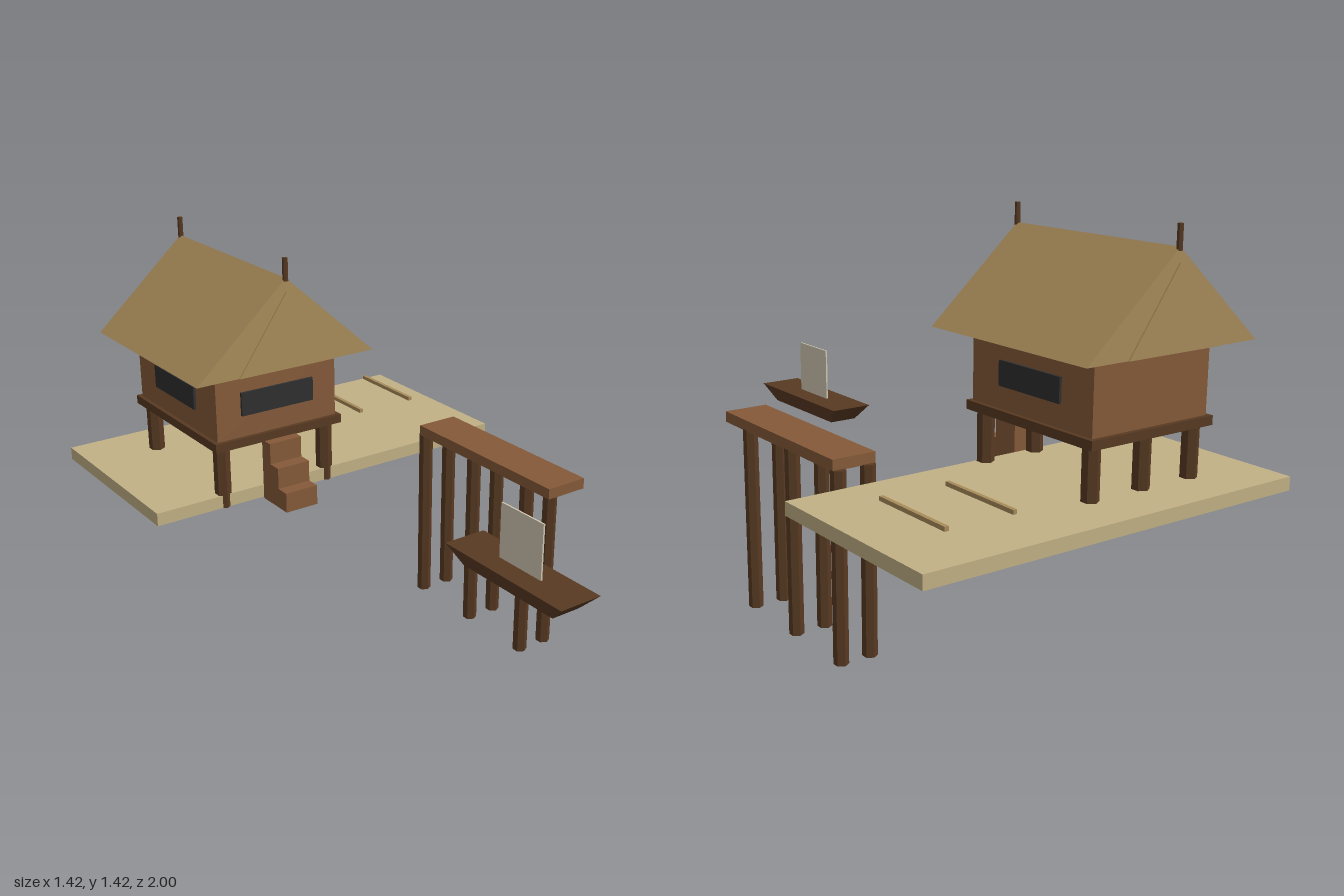
import * as THREE from 'three';

const paint = (name, color) => {
  const m = new THREE.MeshStandardMaterial({ color });
  m.name = name;
  return m;
};

export function createModel() {
  const model = new THREE.Group();
  model.name = 'stiltHouseScene';
  const sand = paint('sand', 0xc2b185);
  const thatch = paint('thatch', 0xa88b5a);
  const wood = paint('wood', 0x855a39);
  const darkWood = paint('darkWood', 0x583a22);
  const glass = paint('windowDark', 0x2f2f30);
  const cloth = paint('sailCloth', 0xd2c8b2);

  const add = (name, geometry, material) => {
    const mesh = new THREE.Mesh(geometry, material);
    mesh.name = name;
    model.add(mesh);
    return mesh;
  };
  // Box given by its lower and upper limits on each axis
  const box = (name, material, [x0, x1], [y0, y1], [z0, z1]) =>
    add(name, new THREE.BoxGeometry(x1 - x0, y1 - y0, z1 - z0), material)
      .position.set((x0 + x1) / 2, (y0 + y1) / 2, (z0 + z1) / 2);
  // Six-sided upright post
  const post = (name, x, z, r, y0, y1) => {
    const g = new THREE.CylinderGeometry(r, r, y1 - y0, 6).toNonIndexed();
    g.computeVertexNormals();
    add(name, g, darkWood).position.set(x, (y0 + y1) / 2, z);
  };
  // Triangular prism running along z
  const prism = (name, x, half, y0, y1, z0, z1) => {
    const s = new THREE.Shape();
    s.moveTo(x - half, y0);
    s.lineTo(x + half, y0);
    s.lineTo(x, y1);
    s.closePath();
    const g = new THREE.ExtrudeGeometry(s, { depth: z1 - z0, bevelEnabled: false });
    add(name, g, thatch).position.z = z0;
  };

  // Ground
  box('ground', sand, [-0.71, 0.71], [0.557, 0.603], [-1, -0.29]);

  // House on stilts
  const cx = -0.238;
  for (const x of [cx - 0.208, cx, cx + 0.208])
    for (const z of [-0.311, -0.815]) post('houseStilt', x, z, 0.029, 0.5565, 0.78);
  box('floor', darkWood, [-0.49, 0.014], [0.776, 0.807], [-0.863, -0.263]);
  box('walls', wood, [-0.475, -0.001], [0.807, 1.052], [-0.847, -0.278]);

  // Windows
  const sill = [0.884, 0.967];
  box('frontWindow', glass, [-0.381, -0.097], sill, [-0.278, -0.269]);
  box('leftWindow', glass, [-0.001, 0.008], sill, [-0.708, -0.42]);
  box('rightWindow', glass, [-0.484, -0.475], sill, [-0.708, -0.42]);

  // Roof with gable panels and ridge posts
  prism('roof', cx, 0.345, 1.048, 1.358, -0.932, -0.198);
  prism('frontGable', cx, 0.188, 1.048, 1.313, -0.199, -0.193);
  prism('backGable', cx, 0.188, 1.048, 1.313, -0.937, -0.931);
  for (const z of [-0.2, -0.928]) post('ridgePost', cx, z, 0.0095, 1.347, 1.425);

  // Steps up to the floor
  for (let i = 0; i < 3; i++)
    box('step', wood, [-0.302, -0.177], [0.557, 0.628 + i * 0.075],
      [i === 2 ? -0.28 : -0.18 - i * 0.05, -0.13 - i * 0.049]);

  // Pier
  box('pierDeck', wood, [0.361, 0.519], [0.65, 0.688], [-0.251, 0.46]);
  for (const x of [0.387, 0.497])
    for (const z of [0.323, 0.037, -0.247]) post('pierPost', x, z, 0.0255, 0, 0.652);

  // Drying poles
  for (const x of [0.313, 0.549])
    box('dryingPole', thatch, [x - 0.007, x + 0.007], [0.651, 0.665], [-0.884, -0.567]);

  // Boat hull: a box narrowed towards its bottom
  const hull = new THREE.BoxGeometry(0.156, 0.061, 0.536).toNonIndexed();
  const p = hull.attributes.position;
  for (let i = 0; i < p.count; i++)
    if (p.getY(i) < 0) {
      p.setX(i, p.getX(i) * 0.66);
      p.setZ(i, p.getZ(i) * 0.77);
    }
  hull.computeVertexNormals();
  add('boatHull', hull, darkWood).position.set(-0.001, 0.589, 0.732);
  box('sail', cloth, [-0.004, 0.002], [0.615, 0.807], [0.638, 0.829]);

  return model;
}
